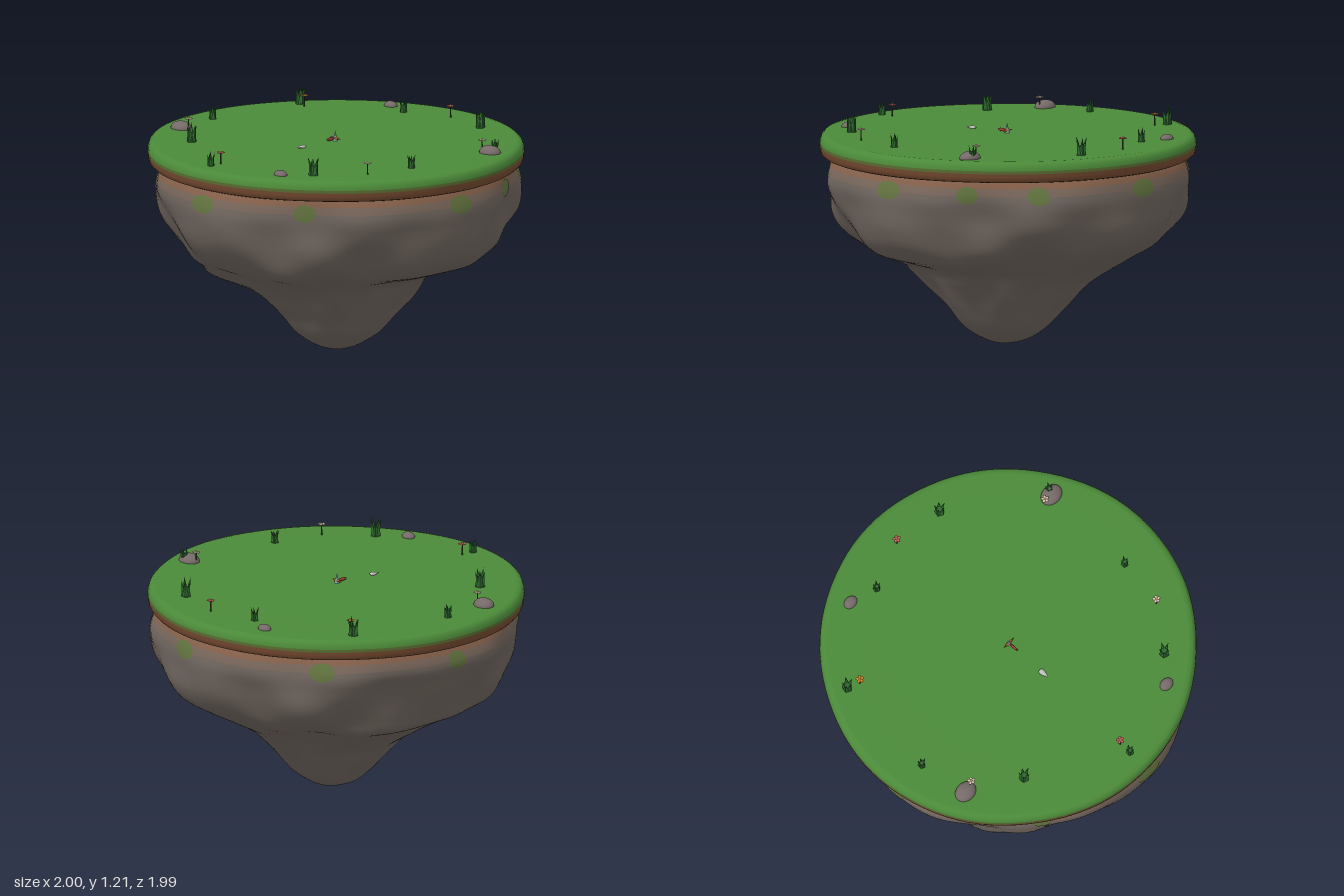
import * as THREE from 'three';

const mat = (color, extra = {}) => new THREE.MeshStandardMaterial({ color, ...extra });
const GRASS = mat(0x4b8a39), RIM = mat(0x55682f), SOIL = mat(0x74492f), ROCK = mat(0x70665f);
const EARTH_LOW = mat(0x79665a), EARTH = mat(0x85604a), BLADE = mat(0x2f6a30), PEBBLE = mat(0x756a68);
const MOSS = mat(0x62733f, { side: THREE.DoubleSide }), STEM = mat(0x35502a);
const TOP = 1.11;

function add(parent, name, geometry, material, x = 0, y = 0, z = 0) {
  const mesh = new THREE.Mesh(geometry, material);
  mesh.name = name;
  mesh.position.set(x, y, z);
  parent.add(mesh);
  return mesh;
}

// Rock outline per height: [y, radius towards +x, -x, +z, -z]
const ROWS = [
  [0, 0, 0, 0, 0], [0.006, 0.06, 0.06, 0.07, 0.07], [0.03, 0.14, 0.1, 0.13, 0.14],
  [0.1, 0.25, 0.17, 0.23, 0.24], [0.2, 0.33, 0.27, 0.31, 0.33], [0.27, 0.38, 0.33, 0.38, 0.4],
  [0.35, 0.44, 0.45, 0.46, 0.48], [0.42, 0.5, 0.57, 0.57, 0.58], [0.48, 0.66, 0.68, 0.68, 0.69],
  [0.53, 0.8, 0.78, 0.78, 0.78], [0.6, 0.88, 0.82, 0.86, 0.88], [0.7, 0.93, 0.87, 0.93, 0.95],
  [0.8, 0.955, 0.92, 0.965, 0.975], [0.9, 0.97, 0.965, 0.98, 0.985],
  [1.0, 0.935, 0.93, 0.95, 0.95], [1.03, 0.9, 0.9, 0.9, 0.9],
];
const SIDES = [1, 2, 3, 4].map((col) => new THREE.CatmullRomCurve3(
  ROWS.map((r) => new THREE.Vector3(r[col], r[0], 0)), false, 'centripetal'));

// Point on the rock: angle a from +z towards +x, v from the tip (0) to the top (1)
function rockPoint(a, v, lift = 0) {
  const s = Math.sin(a), c = Math.cos(a);
  const px = SIDES[s > 0 ? 0 : 1].getPoint(v), pz = SIDES[c > 0 ? 2 : 3].getPoint(v);
  const p = px.multiplyScalar(s * s).add(pz.multiplyScalar(c * c));
  const fade = Math.sin(Math.PI * Math.min(1, v));
  const diagonal = Math.sin(2 * a) ** 2;
  const lumps = 0.035 * Math.sin(5 * a + 9 * v) + 0.03 * Math.sin(8 * a - 16 * v + 1)
    + 0.012 * Math.sin(14 * a + 23 * v);
  const bulge = 0.13 * Math.exp(-(((a + 0.5) / 0.3) ** 2) - ((v - 0.46) / 0.07) ** 2);
  const r = p.x * (1 - 0.02 * diagonal + fade * (lumps * (0.3 + 0.7 * diagonal) + bulge)) + lift;
  return new THREE.Vector3(r * s + 0.045 * Math.exp(-((v / 0.09) ** 2)), p.y, r * c);
}

// Grid surface from a rule f(u, v), u running round and v running up
function surface(f, nu, nv) {
  const pos = [], idx = [];
  for (let j = 0; j <= nv; j++) {
    for (let i = 0; i <= nu; i++) pos.push(...f(i / nu, j / nv).toArray());
  }
  for (let j = 0; j < nv; j++) {
    for (let i = 0; i < nu; i++) {
      const a = j * (nu + 1) + i, b = a + 1, d = a + nu + 1, c = d + 1;
      idx.push(a, b, d, b, c, d);
    }
  }
  const g = new THREE.BufferGeometry();
  g.setAttribute('position', new THREE.Float32BufferAttribute(pos, 3));
  g.setIndex(idx);
  g.computeVertexNormals();
  return g;
}

function rockBand(v0, v1, nv) {
  return surface((u, v) => rockPoint((u * 2 - 1) * Math.PI, v0 + (v1 - v0) * v), 128, nv);
}

const lathe = (points, sides) => new THREE.LatheGeometry(points.map(([r, y]) => new THREE.Vector2(r, y)), sides);

// Slab layer with a slightly uneven outline
function ring(points) {
  const g = lathe(points, 96), p = g.attributes.position;
  for (let k = 0; k < p.count; k++) {
    const x = p.getX(k), z = p.getZ(k), a = Math.atan2(x, z);
    const f = 1 - 0.008 * Math.sin(2 * a) ** 2 - 0.004 * Math.cos(a) ** 2 + 0.003 * Math.sin(7 * a) * Math.sin(2 * a);
    p.setXYZ(k, x * f, p.getY(k), z * f - 0.004 * Math.cos(a) ** 2);
  }
  return g;
}

// Tuft of five flaring blades round a short core
function grassTuft(height) {
  const tuft = new THREE.Group();
  tuft.name = 'grassTuft';
  const w = height * 0.2;
  for (let i = 0; i < 5; i++) {
    const h = height * (i % 2 ? 0.88 : 1);
    const blade = new THREE.ConeGeometry(w, h, 4, 3);
    blade.translate(0, h / 2, 0);
    const p = blade.attributes.position;
    for (let k = 0; k < p.count; k++) {
      const t = p.getY(k) / height;
      p.setZ(k, p.getZ(k) * 0.7 + height * (0.13 + 0.18 * t * t));
    }
    blade.computeVertexNormals();
    add(tuft, 'grassBlade', blade, BLADE).rotation.y = i * Math.PI * 0.4;
  }
  add(tuft, 'grassCore', new THREE.CylinderGeometry(w, w * 1.1, height * 0.5, 5), BLADE, 0, height * 0.25, 0);
  return tuft;
}

// Thin stem carrying five flat petals
function flower(color) {
  const group = new THREE.Group();
  group.name = 'flower';
  const petals = mat(color);
  add(group, 'stem', new THREE.CylinderGeometry(0.003, 0.004, 0.06, 6), STEM, 0, 0.03, 0);
  for (let i = 0; i < 5; i++) {
    const a = i * Math.PI * 0.4;
    const petal = add(group, 'petal', new THREE.SphereGeometry(0.01, 8, 6), petals,
      0.012 * Math.sin(a), 0.061, 0.012 * Math.cos(a));
    petal.scale.set(0.85, 0.35, 1.1);
    petal.rotation.y = a;
  }
  add(group, 'flowerCentre', new THREE.SphereGeometry(0.006, 8, 6), mat(0xd9b060), 0, 0.063, 0);
  return group;
}

export function createModel() {
  const island = new THREE.Group();
  island.name = 'floatingIsland';

  // Rock mass with an earthy collar under the slab
  add(island, 'rock', rockBand(0, 0.88, 80), ROCK);
  add(island, 'lowerEarthCollar', rockBand(0.88, 0.905, 4), EARTH_LOW);
  add(island, 'earthCollar', rockBand(0.905, 1, 10), EARTH);

  // Moss patches hugging the upper rock: [angle, half width]
  for (const [a, w] of [[0.02, 0.08], [0.64, 0.06], [-0.65, 0.05], [1.57, 0.08], [2.05, 0.06],
    [2.45, 0.06], [-1.5, 0.06], [-2.3, 0.07], [3.1, 0.08]]) {
    const patch = surface((u, v) => {
      const t = u * Math.PI * 2;
      return rockPoint(a + w * v * Math.sin(t), 0.882 - 0.03 * v * Math.cos(t), 0.003);
    }, 24, 4);
    add(island, 'mossPatch', patch, MOSS);
  }

  // Slab: soil below, a blended rim, then turf
  add(island, 'soil', ring([[0, 1.003], [0.9, 1.002], [0.97, 1], [0.985, 1.006], [0.995, 1.018],
    [0.998, 1.035], [1, 1.05]]), SOIL);
  add(island, 'turfRim', ring([[1, 1.05], [1, 1.058], [0.999, 1.066]]), RIM);
  add(island, 'turf', ring([[0.999, 1.066], [0.997, 1.08], [0.99, 1.096], [0.978, 1.107],
    [0.955, 1.112], [0.8, TOP], [0.4, TOP], [0, TOP]]), GRASS);

  // Grass tufts: [x, z, height]
  [[-0.24, -0.72, 0.075], [0.3, -0.765, 0.1], [-0.755, -0.46, 0.1], [0.775, -0.42, 0.075],
    [-0.81, 0.12, 0.075], [0.74, 0.15, 0.075], [-0.5, 0.565, 0.1], [0.51, 0.64, 0.1],
    [-0.02, 0.88, 0.075]].forEach(([x, z, h], i) => {
    const tuft = grassTuft(h);
    tuft.position.set(x, TOP - 0.002, z);
    tuft.rotation.y = i * 1.3;
    island.add(tuft);
  });

  // Flowers: [x, z, colour]
  for (const [x, z, color] of [[0.02, -0.815, 0xc8625f], [-0.69, -0.43, 0xd98a20], [0.71, -0.39, 0xd8c4b0],
    [-0.715, 0.385, 0xd8c4b0], [0.69, 0.42, 0xd8c4b0], [-0.02, 0.81, 0xc8625f]]) {
    const f = flower(color);
    f.position.set(x, TOP, z);
    island.add(f);
  }

  // Pebbles: [x, z, half width, half height, half depth]
  for (const [x, z, w, h, d] of [[-0.39, -0.77, 0.04, 0.024, 0.031], [0.765, -0.395, 0.064, 0.037, 0.05],
    [-0.765, 0.39, 0.062, 0.037, 0.05], [0.39, 0.765, 0.04, 0.024, 0.031]]) {
    add(island, 'pebble', new THREE.SphereGeometry(1, 20, 14), PEBBLE, x, TOP + 0.003, z).scale.set(w, h, d);
  }

  // Small marker at the centre
  const marker = new THREE.Group();
  marker.name = 'centreMarker';
  marker.position.y = TOP;
  add(marker, 'spire', new THREE.ConeGeometry(0.013, 0.055, 8), mat(0x8fb4c0), 0, 0.0275, 0);
  for (const s of [-1, 1]) {
    const arm = add(marker, 'arm', new THREE.ConeGeometry(0.009, 0.04, 8), mat(0xb8702c), s * 0.022, 0.014, 0);
    arm.rotation.z = -s * Math.PI / 2;
  }
  add(marker, 'tail', new THREE.SphereGeometry(1, 12, 8), mat(0x9c4032), 0, 0.014, 0.035)
    .scale.set(0.006, 0.009, 0.03);
  island.add(marker);

  // Pale drop-shaped stone pointing forward
  const drop = lathe([[0, -0.027], [0.011, -0.024], [0.016, -0.013], [0.012, 0.006], [0.005, 0.022], [0, 0.034]], 14);
  const stone = add(island, 'paleStone', drop, mat(0xc0c0ba), 0, TOP + 0.004, 0.245);
  stone.rotation.x = Math.PI / 2;
  stone.scale.z = 0.6;
  return island;
}
